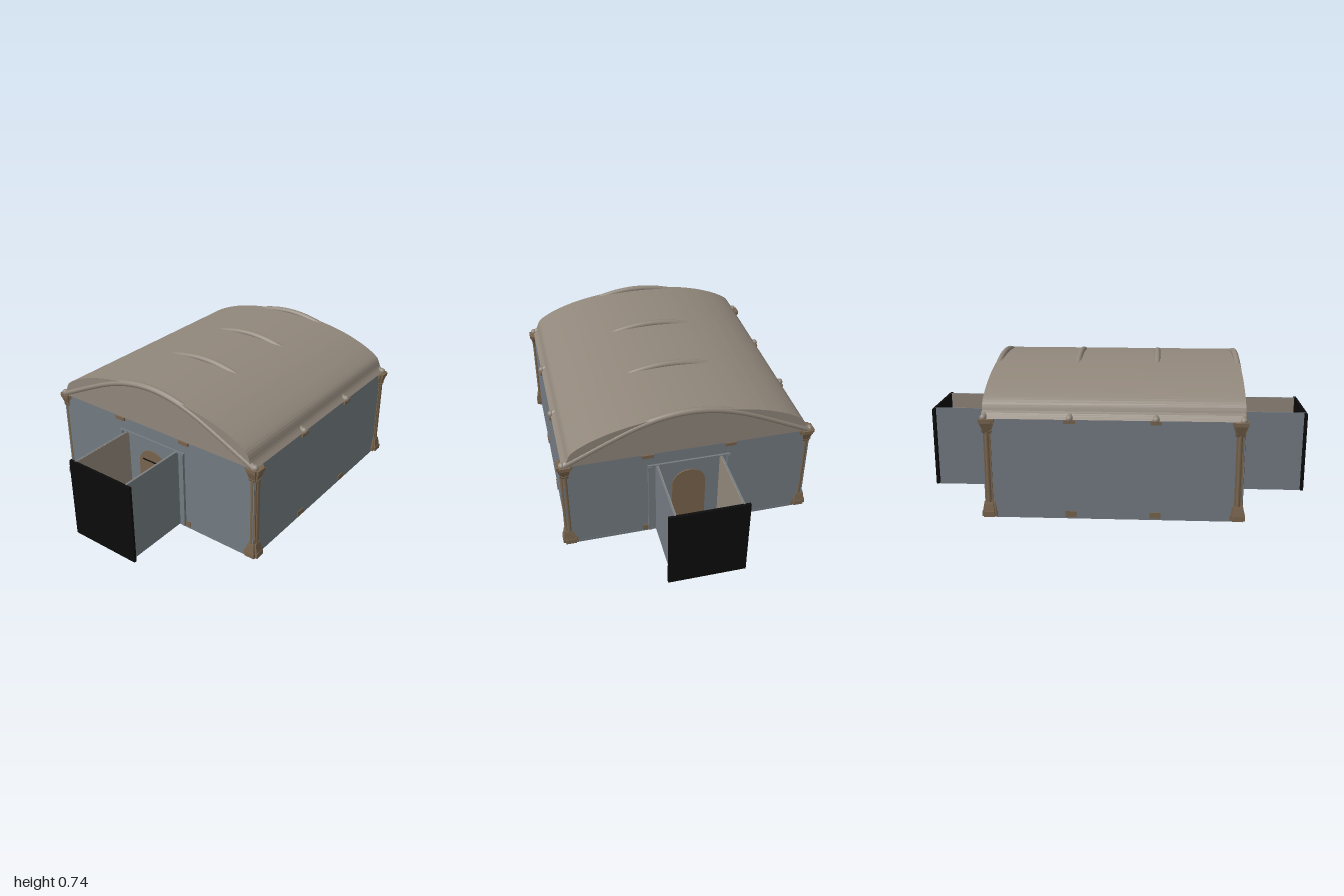
import * as THREE from 'three';

const mat = (name, color) => Object.assign(new THREE.MeshStandardMaterial({ color }), { name });

export function createModel() {
  const wall = mat('grey wall', 0x737b81);
  const stone = mat('roof stone', 0x91877b);
  const trim = mat('brown trim', 0x78644d);
  const black = mat('black door', 0x0b0b0b);
  const root = new THREE.Group();
  root.name = 'vaultedHall';

  const add = (parent, name, geometry, material, x = 0, y = 0, z = 0) => {
    const mesh = new THREE.Mesh(geometry, material);
    mesh.name = name;
    mesh.position.set(x, y, z);
    parent.add(mesh);
    return mesh;
  };
  const box = (parent, name, material, w, h, d, x, y, z) =>
    add(parent, name, new THREE.BoxGeometry(w, h, d), material, x, y + h / 2, z);
  // Four-sided frustum with different bottom and top sizes
  const taper = (w0, d0, w1, d1, h) => {
    const g = new THREE.BoxGeometry(1, h, 1);
    const p = g.attributes.position;
    for (let i = 0; i < p.count; i++) {
      const top = p.getY(i) > 0;
      p.setX(i, p.getX(i) * (top ? w1 : w0));
      p.setZ(i, p.getZ(i) * (top ? d1 : d0));
    }
    g.translate(0, h / 2, 0);
    g.computeVertexNormals();
    return g;
  };

  // Hall body on a thin slab
  box(root, 'floorSlab', wall, 1.236, 0.012, 1.262, 0, 0, 0);
  box(root, 'hallWalls', wall, 1.24, 0.495, 1.26, 0, 0.01, 0);

  // Barrel roof with filled gables
  const half = [[0.62, 0.505], [0.598, 0.53], [0.575, 0.577], [0.52, 0.614], [0.45, 0.645],
    [0.36, 0.674], [0.25, 0.697], [0.13, 0.711], [0, 0.716]];
  const profile = [...half, ...half.slice(0, -1).reverse().map(([x, y]) => [-x, y])];
  const curve = new THREE.SplineCurve(profile.map(([x, y]) => new THREE.Vector2(x, y)));
  const roofShape = new THREE.Shape(curve.getPoints(64));
  const roofGeo = new THREE.ExtrudeGeometry(roofShape, { depth: 1.264, bevelEnabled: false });
  add(root, 'barrelRoof', roofGeo, stone, 0, 0, -0.632);

  // Arched ribs
  const ribHalf = [[0.618, 0.505], [0.52, 0.552], [0.4, 0.61], [0.26, 0.671], [0.13, 0.708]];
  const ribPoints = [...ribHalf, [0, 0.721], ...ribHalf.slice().reverse().map(([x, y]) => [-x, y])];
  const ribCurve = new THREE.CatmullRomCurve3(ribPoints.map(([x, y]) => new THREE.Vector3(x, y, 0)));
  const ribGeo = new THREE.TubeGeometry(ribCurve, 48, 0.016, 12);
  for (const z of [-0.622, -0.207, 0.207, 0.622]) {
    add(root, 'archRib', ribGeo, stone, 0, 0, z);
    for (const s of [-1, 1])
      add(root, 'ribEnd', new THREE.SphereGeometry(0.017, 12, 8), stone, s * 0.618, 0.51, z);
  }

  // Clustered corner columns with cross-shaped bases and capitals
  const column = (x, z) => {
    const g = new THREE.Group();
    g.name = 'cornerColumn';
    g.position.set(x, 0, z);
    const tiers = [
      ['columnPlinth', 0.01, 0.026, 0.076, 0.074],
      ['columnBase', 0.036, 0.036, 0.068, 0.056],
      ['columnBaseCap', 0.072, 0.012, 0.056, 0.05],
      ['capitalNeck', 0.435, 0.012, 0.046, 0.054],
      ['capital', 0.447, 0.04, 0.046, 0.07],
      ['capitalTop', 0.487, 0.018, 0.076, 0.076],
    ];
    for (const [name, y, h, a, b] of tiers) {
      add(g, name, taper(a, a * 0.7, b, b * 0.7, h), trim, 0, y, 0);
      add(g, name, taper(a * 0.7, a, b * 0.7, b, h), trim, 0, y, 0);
    }
    box(g, 'shaftCore', trim, 0.036, 0.37, 0.036, 0, 0.075, 0);
    for (let i = 0; i < 4; i++) {
      const a = i * Math.PI / 2;
      add(g, 'shaft', new THREE.CylinderGeometry(0.011, 0.011, 0.37, 10), trim,
        Math.cos(a) * 0.015, 0.26, Math.sin(a) * 0.015);
    }
    root.add(g);
  };
  for (const x of [-0.607, 0.607]) for (const z of [-0.607, 0.607]) column(x, z);

  // Small brackets along the foot and head of every wall
  for (const a of [-1, 1]) for (const b of [-1, 1]) {
    box(root, 'sideFootBracket', trim, 0.016, 0.03, 0.054, a * 0.616, 0.01, b * 0.207);
    box(root, 'sideHeadBracket', trim, 0.026, 0.018, 0.056, a * 0.616, 0.487, b * 0.207);
    box(root, 'endFootBracket', trim, 0.034, 0.03, 0.016, a * 0.22, 0.01, b * 0.626);
    box(root, 'endHeadBracket', trim, 0.058, 0.018, 0.026, a * 0.207, 0.487, b * 0.626);
  }

  // Open-topped porch at each end
  const archShape = new THREE.Shape();
  archShape.moveTo(-0.085, 0).lineTo(0.085, 0).lineTo(0.085, 0.275);
  archShape.absarc(0, 0.275, 0.085, 0, Math.PI, false);
  const archGeo = new THREE.ExtrudeGeometry(archShape, { depth: 0.008, bevelEnabled: false, curveSegments: 16 });
  const porch = (name, turn) => {
    const g = new THREE.Group();
    g.name = name;
    g.rotation.y = turn;
    box(g, 'porchFloor', wall, 0.33, 0.012, 0.36, 0, 0, 0.81);
    box(g, 'porchFloorTop', trim, 0.32, 0.004, 0.36, 0, 0.012, 0.81);
    for (const s of [-1, 1]) {
      box(g, 'porchWall', wall, 0.008, 0.43, 0.36, s * 0.164, 0.005, 0.81);
      box(g, 'porchLining', stone, 0.004, 0.418, 0.354, s * 0.158, 0.016, 0.807);
      box(g, 'doorJamb', wall, 0.016, 0.42, 0.016, s * 0.2, 0.012, 0.636);
    }
    box(g, 'lintel', wall, 0.416, 0.01, 0.012, 0, 0.428, 0.634);
    box(g, 'outerDoor', black, 0.388, 0.426, 0.014, 0, 0.008, 0.993);
    add(g, 'innerArchedDoor', archGeo, trim, 0, 0.012, 0.629);
    root.add(g);
    return g;
  };
  const front = porch('frontPorch', 0);
  porch('backPorch', Math.PI);

  // Dark straps on the front inner door
  for (const y of [0.12, 0.22, 0.31])
    box(front, 'doorStrap', black, 0.12, 0.006, 0.004, 0, y, 0.638);

  return root;
}
